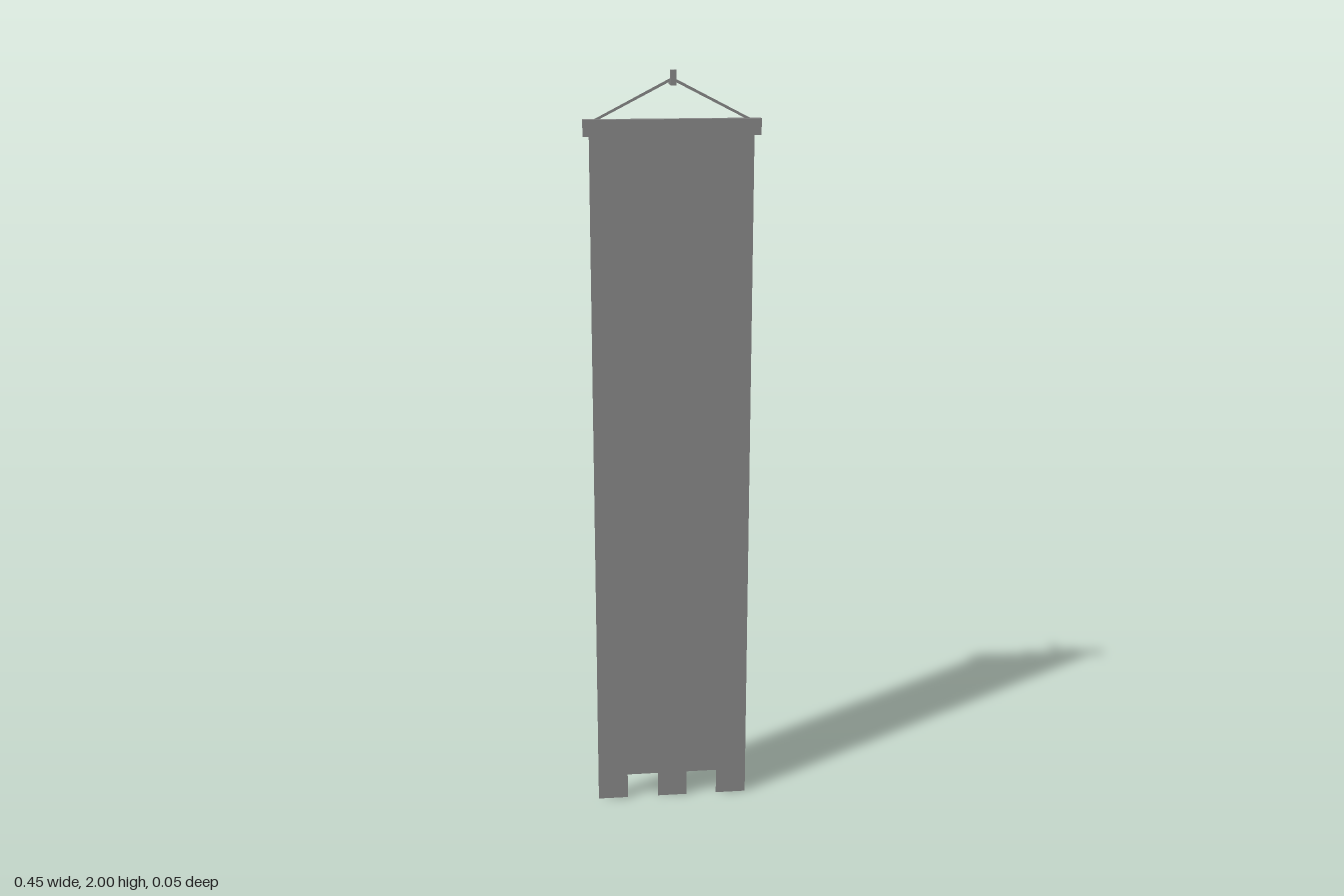
import * as THREE from 'three';

export function createModel() {
  const group = new THREE.Group();
  group.name = 'hangingBanner';
  const solid = new THREE.MeshStandardMaterial({ color: 0x868686, flatShading: true });
  const sheet = new THREE.MeshStandardMaterial({ color: 0x868686, side: THREE.DoubleSide });
  const midZ = -0.003;

  const add = (name, geometry, material) => {
    const mesh = new THREE.Mesh(geometry, material);
    mesh.name = name;
    group.add(mesh);
    return mesh;
  };
  // Box given by its lower and upper corners
  const box = (name, a, b, material = solid) => {
    const size = a.map((v, i) => b[i] - v);
    const mesh = add(name, new THREE.BoxGeometry(...size), material);
    mesh.position.set(...a.map((v, i) => (v + b[i]) / 2));
    return mesh;
  };
  const flat = (points) =>
    new THREE.ShapeGeometry(new THREE.Shape(points.map(([x, y]) => new THREE.Vector2(x, y))));

  // Thin cloth with two square notches in the lower edge
  const notch = 0.071;
  add('cloth', flat([
    [-0.208, 0], [-0.126, 0], [-0.126, notch], [-0.041, notch], [-0.041, 0],
    [0.041, 0], [0.041, notch], [0.124, notch], [0.124, 0], [0.207, 0],
    [0.207, 1.845], [-0.208, 1.845],
  ]), sheet).position.z = midZ;

  // Bar holding the cloth: a hollow channel, open at the back (the last face is dropped)
  const bar = box('crossbar', [-0.223, 1.839, -0.014], [0.223, 1.88, 0.008], sheet);
  bar.geometry.setIndex(Array.from(bar.geometry.index.array).slice(0, 30));
  bar.geometry.clearGroups();

  // Flat cords from the bar up to the peg
  for (const side of [-1, 1]) {
    add(side < 0 ? 'rightCord' : 'leftCord', flat([
      [side * 0.204, 1.876], [side * 0.19, 1.876], [0, 1.973], [0, 1.981],
    ]), sheet).position.z = midZ;
  }

  // L-shaped wall hook: a peg with an upturned front end
  box('hookPeg', [-0.007, 1.963, -0.027], [0.007, 1.975, 0.025]);
  box('hookTip', [-0.007, 1.975, 0.014], [0.007, 2, 0.025]);

  return group;
}
